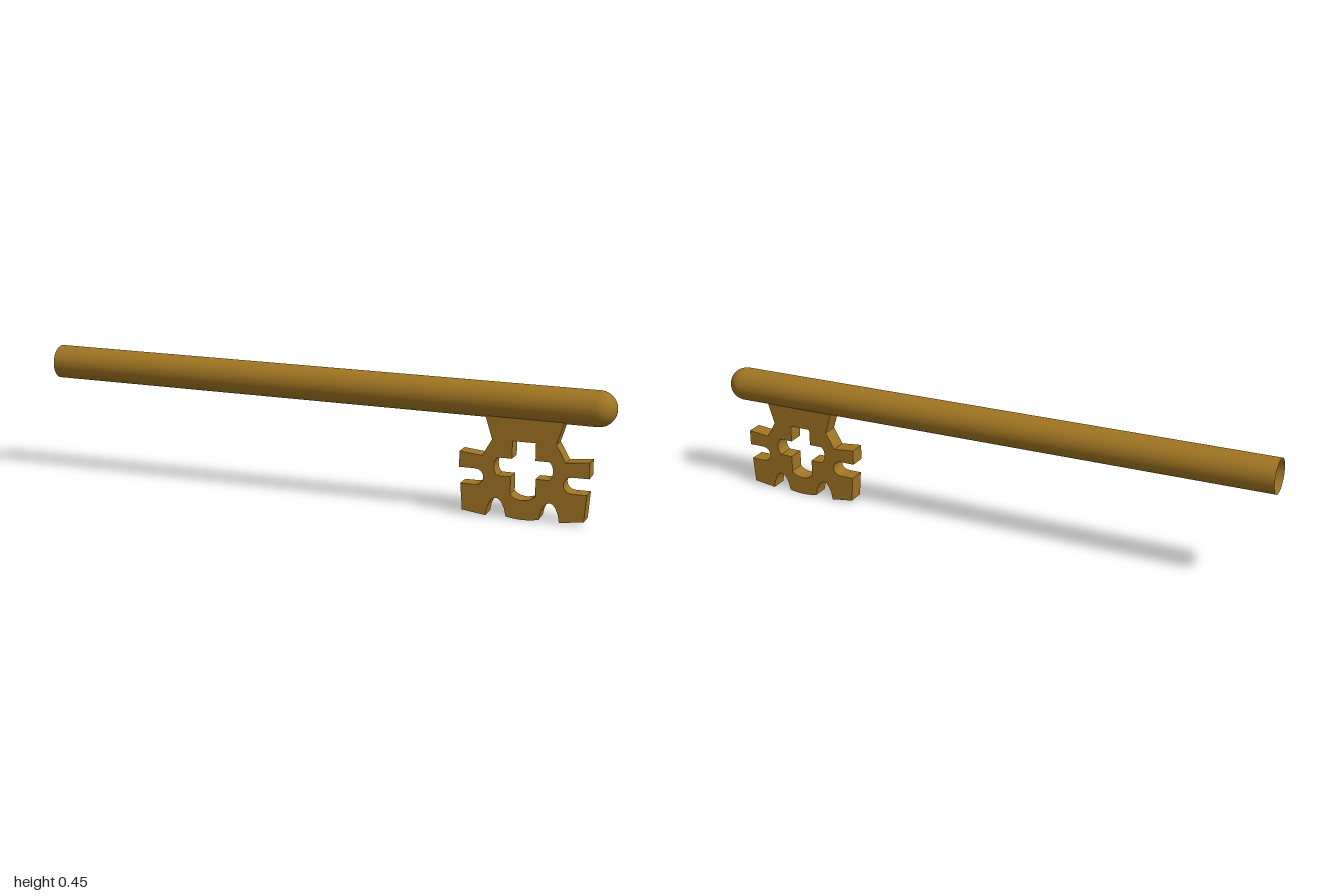
import * as THREE from 'three';

const RADIUS = 0.058;
const BIT_X = 0.713; // symmetry line of the bit
const BIT_DEPTH = 0.058;

// Mirror a half path (drawn on the -x side, top to bottom) into a closed loop.
function mirrored(half) {
  const left = half.getPoints(8);
  const right = left.filter((p) => Math.abs(p.x) > 1e-6)
    .map((p) => new THREE.Vector2(-p.x, p.y)).reverse();
  return [...left, ...right];
}

export function createModel() {
  const group = new THREE.Group();
  const brass = new THREE.MeshStandardMaterial({ color: 0xa07522, side: THREE.DoubleSide });

  // Shaft: open tube at one end, rounded tip at the other, sloping slightly down
  const tip = new THREE.Vector2(1 - RADIUS, 0.378);
  const tail = new THREE.Vector2(-1, 0.397);
  const profile = [new THREE.Vector2(RADIUS, -tip.distanceTo(tail))];
  for (let i = 0; i <= 16; i++) {
    const a = (i / 16) * Math.PI / 2;
    profile.push(new THREE.Vector2(i === 16 ? 0 : RADIUS * Math.cos(a), RADIUS * Math.sin(a)));
  }
  const shaft = new THREE.Mesh(new THREE.LatheGeometry(profile, 48), brass);
  shaft.name = 'shaft';
  shaft.position.set(tip.x, tip.y, 0);
  shaft.rotation.z = Math.atan2(tip.y - tail.y, tip.x - tail.x) - Math.PI / 2;
  group.add(shaft);

  // Bit outline: neck, upper arm, rounded side notch, foot, arched bottom notch
  const outline = new THREE.Path();
  outline.moveTo(0, 0.345);
  outline.lineTo(-0.133, 0.345);
  outline.lineTo(-0.105, 0.257);
  outline.lineTo(-0.137, 0.201);
  outline.lineTo(-0.213, 0.209);
  outline.lineTo(-0.213, 0.156);
  outline.lineTo(-0.160, 0.156);
  outline.bezierCurveTo(-0.122, 0.156, -0.122, 0.102, -0.160, 0.102);
  outline.lineTo(-0.208, 0.102);
  outline.lineTo(-0.201, 0.014);
  outline.lineTo(-0.122, 0.003);
  outline.bezierCurveTo(-0.112, 0.085, -0.066, 0.085, -0.054, 0.006);
  outline.quadraticCurveTo(-0.027, 0, 0, 0);

  // Cross-shaped window with rounded arms and bottom
  const cross = new THREE.Path();
  cross.moveTo(0, 0.257);
  cross.lineTo(-0.038, 0.257);
  cross.lineTo(-0.038, 0.199);
  cross.lineTo(-0.085, 0.199);
  cross.bezierCurveTo(-0.101, 0.185, -0.101, 0.153, -0.085, 0.139);
  cross.lineTo(-0.041, 0.139);
  cross.lineTo(-0.041, 0.082);
  cross.quadraticCurveTo(-0.030, 0.066, 0, 0.064);

  const shape = new THREE.Shape(mirrored(outline));
  shape.holes.push(new THREE.Path(mirrored(cross)));
  const bit = new THREE.Mesh(
    new THREE.ExtrudeGeometry(shape, { depth: BIT_DEPTH, bevelEnabled: false }), brass);
  bit.name = 'bit';
  bit.position.set(BIT_X, 0, 0.002 - BIT_DEPTH / 2);
  group.add(bit);

  return group;
}
